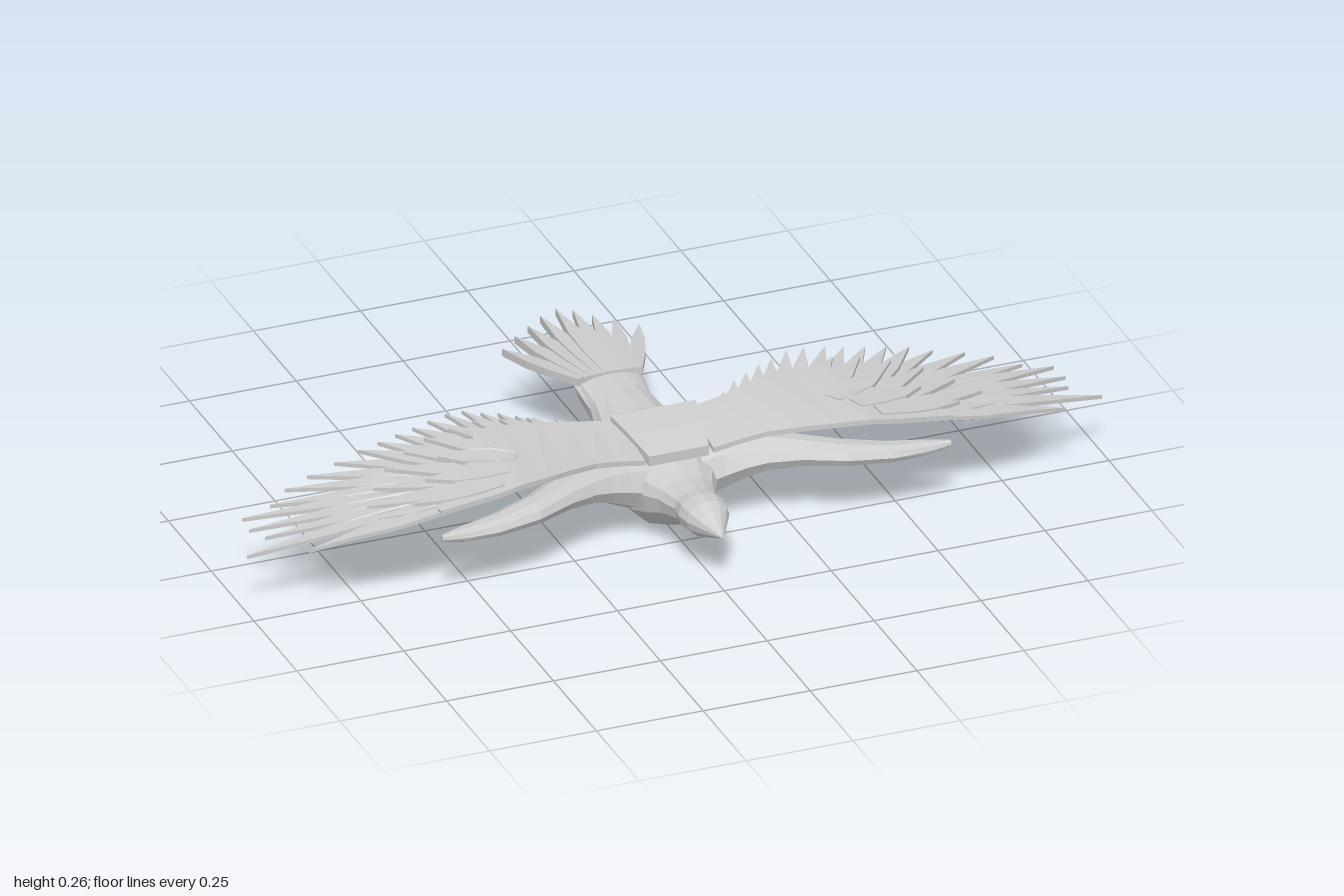
import * as THREE from 'three';

const material = new THREE.MeshStandardMaterial({ color: 0xcccccc, flatShading: true, side: THREE.DoubleSide });

function mesh(name, geometry) {
  geometry.computeVertexNormals();
  const m = new THREE.Mesh(geometry, material);
  m.name = name;
  return m;
}

// Skin a list of equal-sized rings of [x, y, z] and close both ends
function loft(rings, flip = false) {
  const n = rings[0].length, last = (rings.length - 1) * n, index = [];
  const tri = (a, b, c) => index.push(...(flip ? [a, c, b] : [a, b, c]));
  for (let i = 0; i < rings.length - 1; i++) {
    for (let j = 0; j < n; j++) {
      const a = i * n + j, b = i * n + (j + 1) % n;
      tri(a, a + n, b);
      tri(b, a + n, b + n);
    }
  }
  for (let j = 1; j < n - 1; j++) {
    tri(0, j, j + 1);
    tri(last, last + j + 1, last + j);
  }
  const g = new THREE.BufferGeometry();
  g.setAttribute('position', new THREE.Float32BufferAttribute(rings.flat(2), 3));
  g.setIndex(index);
  return g.toNonIndexed();
}

// Arched height of the wing over its span, tilted forward near the body
const arch = [[0, 0.195], [0.1, 0.207], [0.25, 0.234], [0.4, 0.248], [0.6, 0.222], [0.8, 0.183], [1, 0.136]];
function wingHeight(x, z) {
  const ax = Math.min(Math.abs(x), 0.9999);
  const i = arch.findIndex((p) => p[0] > ax);
  const [x0, y0] = arch[i - 1], [x1, y1] = arch[i];
  const tilt = 0.2 * Math.max(0, 1 - ax / 0.35) * Math.min(0.08, 0.16 - z);
  return y0 + (y1 - y0) * (ax - x0) / (x1 - x0) + tilt;
}

// Thin pointed feather between two [x, z] points, draped on a height function
function feather(name, root, tip, width, height, thickness = 0.009) {
  const dx = tip[0] - root[0], dz = tip[1] - root[1], len = Math.hypot(dx, dz);
  const at = (t, w) => new THREE.Vector2(
    root[0] + dx * t - dz / len * w * width, -(root[1] + dz * t + dx / len * w * width));
  const shape = new THREE.Shape([
    at(0, 0.35), at(0.35, 0.48), at(0.65, 0.42), at(1, 0),
    at(0.65, -0.42), at(0.35, -0.48), at(0, -0.35)]);
  const g = new THREE.ExtrudeGeometry(shape, { depth: thickness, bevelEnabled: false });
  g.rotateX(-Math.PI / 2);
  const p = g.attributes.position;
  for (let i = 0; i < p.count; i++) p.setY(i, p.getY(i) + height(p.getX(i), p.getZ(i)));
  return mesh(name, g);
}

// Body from beak to tail root: z, half width, bottom, widest height, top
function createBody() {
  const stations = [
    [0.49, 0.002, 0.123, 0.125, 0.127], [0.43, 0.037, 0.097, 0.13, 0.162], [0.405, 0.05, 0.087, 0.132, 0.174],
    [0.37, 0.056, 0.081, 0.132, 0.176], [0.335, 0.05, 0.08, 0.13, 0.17], [0.28, 0.068, 0.06, 0.13, 0.17],
    [0.24, 0.088, 0.035, 0.125, 0.18], [0.19, 0.105, 0.01, 0.12, 0.2], [0.13, 0.117, 0.003, 0.12, 0.21],
    [0.07, 0.115, 0, 0.125, 0.21], [0.03, 0.105, 0.016, 0.13, 0.205], [-0.01, 0.09, 0.045, 0.145, 0.2],
    [-0.1, 0.073, 0.08, 0.165, 0.203], [-0.18, 0.078, 0.12, 0.183, 0.205], [-0.25, 0.05, 0.15, 0.187, 0.2],
    [-0.32, 0.012, 0.175, 0.186, 0.195]];
  return mesh('body', loft(stations.map(([z, w, bottom, mid, top]) =>
    Array.from({ length: 12 }, (_, j) => {
      const a = j / 12 * Math.PI * 2, s = Math.sin(a);
      return [w * Math.cos(a), mid + s * (s > 0 ? top - mid : mid - bottom), z];
    }))));
}

// Fleshy wing arm: x, centre z, half depth, centre y, half height
function createArm(side) {
  const stations = [
    [0.05, 0.135, 0.105, 0.12, 0.08], [0.11, 0.14, 0.102, 0.135, 0.07], [0.155, 0.16, 0.088, 0.147, 0.056],
    [0.2, 0.19, 0.07, 0.157, 0.044], [0.27, 0.235, 0.055, 0.165, 0.033], [0.36, 0.286, 0.046, 0.165, 0.027],
    [0.46, 0.311, 0.035, 0.159, 0.021], [0.54, 0.323, 0.022, 0.159, 0.017], [0.595, 0.336, 0.007, 0.165, 0.008]];
  return mesh('wingArm', loft(stations.map(([x, zc, hz, yc, hy]) =>
    Array.from({ length: 10 }, (_, j) => {
      const a = j / 10 * Math.PI * 2;
      return [side * x, yc + hy * Math.sin(a), zc + hz * Math.cos(a)];
    })), side < 0));
}

// Broad plate over the inner wing: x, front z, rear z
function createCovertPlate(side) {
  const stations = [[0.08, 0.238, 0.085], [0.14, 0.242, 0.08], [0.2, 0.254, 0.073], [0.27, 0.285, 0.065],
    [0.34, 0.317, 0.058], [0.41, 0.338, 0.06], [0.46, 0.344, 0.17], [0.6, 0.342, 0.325]];
  return mesh('covertPlate', loft(stations.map(([x, front, rear]) => {
    const yf = wingHeight(x, front) + 0.014, yr = wingHeight(x, rear) + 0.014;
    return [[side * x, yf - 0.012, front], [side * x, yf, front], [side * x, yr, rear], [side * x, yr - 0.012, rear]];
  }), side < 0));
}

function createWing(side) {
  const wing = new THREE.Group();
  wing.name = side > 0 ? 'leftWing' : 'rightWing';
  wing.add(createArm(side), createCovertPlate(side));
  const row = (name, tips, rootAt, width, lift) => tips.forEach(([x, z], i) => {
    const root = rootAt(i / (tips.length - 1));
    wing.add(feather(name, [side * root[0], root[1]], [side * x, z], width,
      (px, pz) => wingHeight(px, pz) + lift(i)));
  });
  // Long outer feathers, fanned from the wrist and stepping down to the rear
  row('primaryFeather',
    [[0.78, 0.312], [0.885, 0.285], [1, 0.21], [0.94, 0.165], [0.955, 0.11], [0.95, 0.055], [0.88, 0.045],
      [0.83, 0.005], [0.77, -0.015], [0.7, -0.03]],
    (t) => [0.5 - 0.1 * t, 0.325 - 0.11 * t], 0.042, (i) => -0.002 * i);
  // Trailing feathers of the inner wing, lowest beside the body
  row('secondaryFeather',
    [[0.645, -0.03], [0.595, -0.04], [0.55, -0.05], [0.505, -0.062], [0.465, -0.072], [0.42, -0.085],
      [0.38, -0.085], [0.34, -0.075], [0.305, -0.062], [0.27, -0.048], [0.235, -0.03], [0.2, -0.005], [0.165, 0.05]],
    (t) => [0.42 - 0.32 * t, 0.22 - 0.06 * t], 0.046, (i) => -0.009 - 0.0025 * i - 0.002 * (i % 2));
  // Shorter covering feathers in two overlapping rows
  row('middleCovert',
    [[0.72, 0.275], [0.72, 0.21], [0.68, 0.15], [0.63, 0.09], [0.57, 0.05], [0.51, 0.02], [0.45, 0.01],
      [0.39, 0.005], [0.33, 0.01], [0.27, 0.02], [0.21, 0.04]],
    (t) => [0.48 - 0.34 * t, 0.3 - 0.12 * t], 0.05, (i) => -0.0005 * i);
  row('upperCovert', [[0.64, 0.28], [0.58, 0.2], [0.52, 0.125]],
    (t) => [0.44 - 0.07 * t, 0.3 - 0.09 * t], 0.06, (i) => 0.009 - 0.001 * i);
  return wing;
}

// Plate bridging the wings over the back, sloping down to the front
function createBackPlate() {
  const stations = [[0.235, 0.07, 0.213], [0.16, 0.085, 0.232], [0.085, 0.1, 0.246]];
  return mesh('backPlate', loft(stations.map(([z, w, y]) =>
    [[w, y - 0.024, z], [w, y, z], [-w, y, z], [-w, y - 0.024, z]])));
}

// Fan of tail feathers, lower towards the sides
function createTail() {
  const tail = new THREE.Group();
  tail.name = 'tail';
  const tips = [[0, -0.483], [0.038, -0.48], [0.075, -0.46], [0.115, -0.437], [0.16, -0.397]];
  tips.forEach(([x, z], i) => (i ? [1, -1] : [1]).forEach((side) => {
    const height = (px, pz) => 0.192 + 0.025 * i * Math.min(0, pz + 0.15);
    tail.add(feather('tailFeather', [side * 0.016 * i, -0.17], [side * x, z], 0.036, height, 0.018));
  }));
  return tail;
}

export function createModel() {
  const bird = new THREE.Group();
  bird.name = 'bird';
  bird.add(createBody(), createBackPlate(), createWing(1), createWing(-1), createTail());
  return bird;
}
